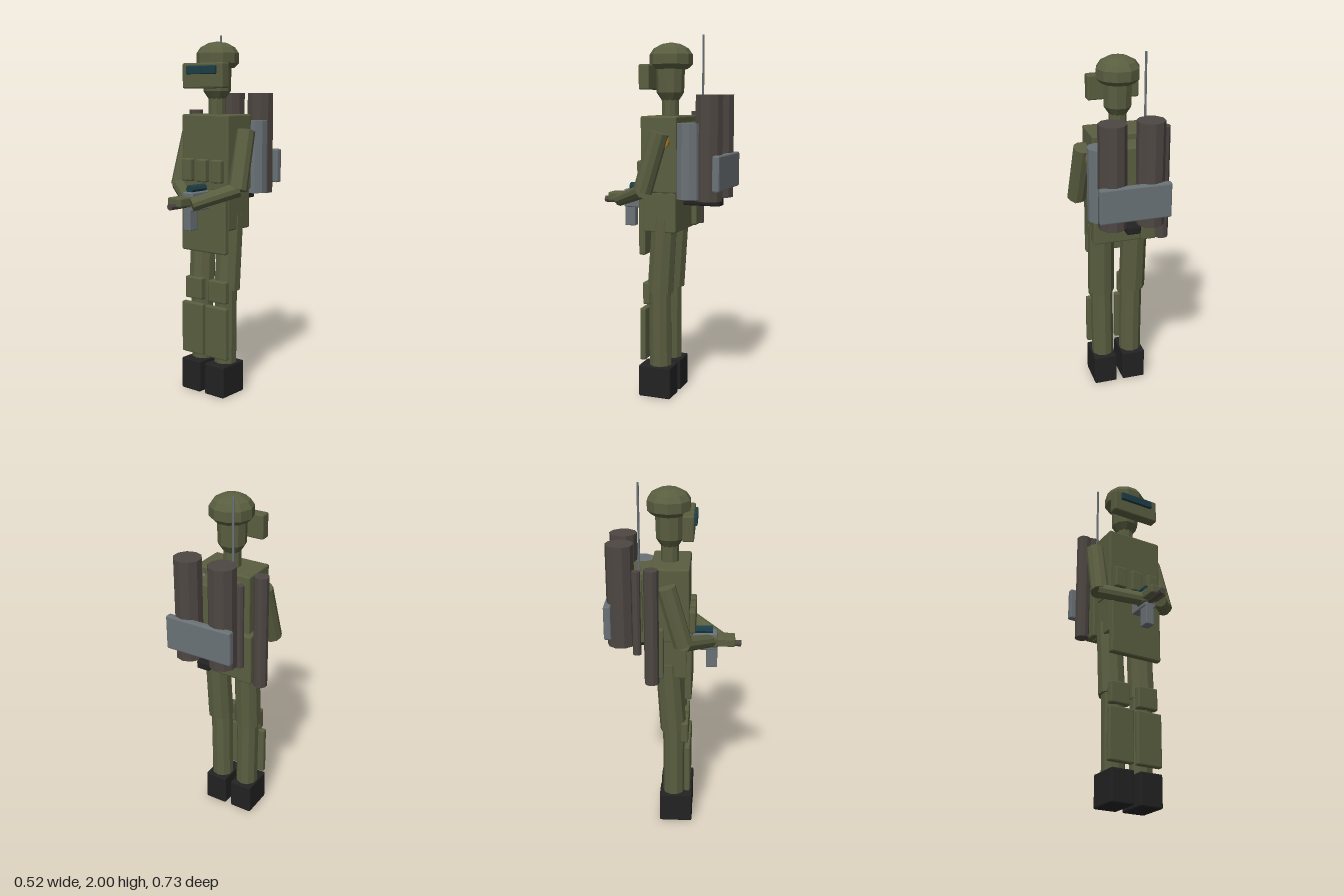
import * as THREE from 'three';
import { RoundedBoxGeometry } from 'three/addons/geometries/RoundedBoxGeometry.js';

const mat = (name, color) => Object.assign(new THREE.MeshStandardMaterial({ color }), { name });

export function createModel() {
  const olive = mat('olive', 0x5a5e40);
  const brown = mat('tube brown', 0x4e4743);
  const grey = mat('steel grey', 0x6a7276);
  const black = mat('boot black', 0x222222);
  const teal = mat('lens teal', 0x1d3d47);
  const amber = mat('amber', 0x9a7020);

  const model = new THREE.Group();
  model.name = 'soldier';

  // Faceted mesh: every face gets its own normals
  function add(name, geo, material) {
    const flat = geo.index ? geo.toNonIndexed() : geo;
    flat.computeVertexNormals();
    const mesh = new THREE.Mesh(flat, material);
    mesh.name = name;
    model.add(mesh);
    return mesh;
  }

  // Chamfered box from its limits on each axis
  function box(name, material, [x0, x1], [y0, y1], [z0, z1], bevel = 0.008) {
    const w = x1 - x0, h = y1 - y0, d = z1 - z0;
    const mesh = add(name, new RoundedBoxGeometry(w, h, d, 1, Math.min(bevel, w / 4, h / 4, d / 4)), material);
    mesh.position.set((x0 + x1) / 2, (y0 + y1) / 2, (z0 + z1) / 2);
    return mesh;
  }

  // Cylinder between two points, r0 at the start and r1 at the end
  function rod(name, material, a, b, r0, r1 = r0, sides = 10) {
    const start = new THREE.Vector3(...a), end = new THREE.Vector3(...b);
    const dir = end.clone().sub(start);
    const mesh = add(name, new THREE.CylinderGeometry(r1, r0, dir.length(), sides), material);
    mesh.position.copy(start).add(end).multiplyScalar(0.5);
    mesh.quaternion.setFromUnitVectors(new THREE.Vector3(0, 1, 0), dir.normalize());
    return mesh;
  }

  // Revolved shape with corners on the x axis
  function lathe(name, material, points, z) {
    const geo = new THREE.LatheGeometry(points.map(([r, y]) => new THREE.Vector2(r, y)), 10);
    const mesh = add(name, geo.rotateY(Math.PI / 2), material);
    mesh.position.z = z;
  }

  // Legs
  for (const s of [-1, 1]) {
    const side = s > 0 ? 'left' : 'right';
    const span = (a, b) => (s > 0 ? [a, b] : [-b, -a]);
    box(side + 'Boot', black, span(0.018, 0.152), [0, 0.18], [-0.08, 0.107]);
    rod(side + 'Shin', olive, [s * 0.083, 0.14, 0], [s * 0.088, 0.63, 0.002], 0.063);
    box(side + 'ShinGuard', olive, span(0.01, 0.16), [0.215, 0.51], [0.062, 0.095]);
    box(side + 'KneePad', olive, span(0.025, 0.145), [0.53, 0.655], [0.04, 0.083]);
    rod(side + 'Thigh', olive, [s * 0.092, 0.6, -0.002], [s * 0.096, 1.02, -0.03], 0.074, 0.071);
  }

  // Body armour
  box('torso', olive, [-0.16, 0.165], [1.155, 1.565], [-0.12, 0.085]);
  box('pelvis', olive, [-0.155, 0.16], [0.94, 1.16], [-0.115, 0.075]);
  box('frontApron', olive, [-0.152, 0.158], [0.81, 1.16], [0.062, 0.1]);
  for (const x of [-0.103, 0, 0.104]) {
    box('chestPouch', olive, [x - 0.034, x + 0.034], [1.2, 1.325], [0.075, 0.118]);
  }
  box('hipPouch', olive, [-0.185, -0.1], [0.95, 1.24], [-0.145, -0.05]);
  rod('shoulderMarker', amber, [0.16, 1.43, -0.055], [0.188, 1.43, -0.055], 0.03);

  // Head
  rod('neck', olive, [0, 1.54, -0.025], [0, 1.67, -0.025], 0.048);
  lathe('head', olive, [[0, 1.64], [0.045, 1.645], [0.075, 1.69], [0.08, 1.84], [0, 1.85]], -0.025);
  lathe('helmet', olive, [[0, 1.815], [0.09, 1.815], [0.117, 1.84], [0.117, 1.893], [0.095, 1.925], [0.05, 1.949], [0, 1.957]], -0.03);
  box('goggleHousing', olive, [-0.14, 0.142], [1.705, 1.84], [0.045, 0.105]);
  box('visorLens', teal, [-0.1, 0.102], [1.78, 1.825], [0.1, 0.121], 0.004);

  // Arms
  rod('rightUpperArm', olive, [-0.192, 1.48, -0.035], [-0.205, 1.165, 0.055], 0.052);
  rod('leftUpperArm', olive, [0.192, 1.48, -0.035], [0.21, 1.165, 0.055], 0.052);
  rod('rightForearm', olive, [-0.208, 1.17, 0.06], [-0.005, 1.105, 0.205], 0.04, 0.036);
  rod('leftForearm', olive, [0.212, 1.17, 0.055], [0.058, 1.095, 0.255], 0.041, 0.035);
  box('rightHand', olive, [-0.035, 0.035], [1.075, 1.135], [0.16, 0.24]);
  box('leftHand', olive, [-0.045, 0.048], [1.085, 1.135], [0.235, 0.333]);

  // Carried device
  box('deviceBody', grey, [-0.025, 0.045], [1.055, 1.155], [0.07, 0.235], 0.006);
  box('deviceGrip', grey, [-0.02, 0.03], [0.948, 1.08], [0.175, 0.237], 0.005);
  rod('deviceScope', teal, [0.002, 1.168, 0.09], [0.002, 1.168, 0.21], 0.024, 0.024, 8);
  rod('deviceBarrel', brown, [0.002, 1.09, 0.2], [0.002, 1.09, 0.367], 0.018, 0.018, 8);

  // Backpack and its cylinders
  box('backpack', olive, [-0.115, 0.105], [1.13, 1.53], [-0.245, -0.11]);
  box('tubeShelf', black, [-0.038, 0.038], [1.08, 1.125], [-0.325, -0.11]);
  box('tubeClip', olive, [-0.13, -0.1], [1.2, 1.5], [-0.222, -0.165], 0.005);
  for (const x of [-0.098, 0.105]) {
    rod('largeTube', brown, [x, 1.12, -0.283], [x, 1.68, -0.283], 0.075);
  }
  rod('greyCanister', grey, [0.143, 1.13, -0.185], [0.143, 1.53, -0.185], 0.068);
  rod('sideTube', brown, [-0.225, 0.947, -0.11], [-0.225, 1.585, -0.11], 0.039);
  rod('thinTube', brown, [-0.147, 1.08, -0.195], [-0.147, 1.55, -0.195], 0.023);
  box('backPlate', grey, [-0.19, 0.195], [1.175, 1.365], [-0.367, -0.327]);
  rod('antenna', grey, [-0.1, 1.5, -0.18], [-0.1, 2, -0.18], 0.006, 0.006, 6);

  return model;
}
